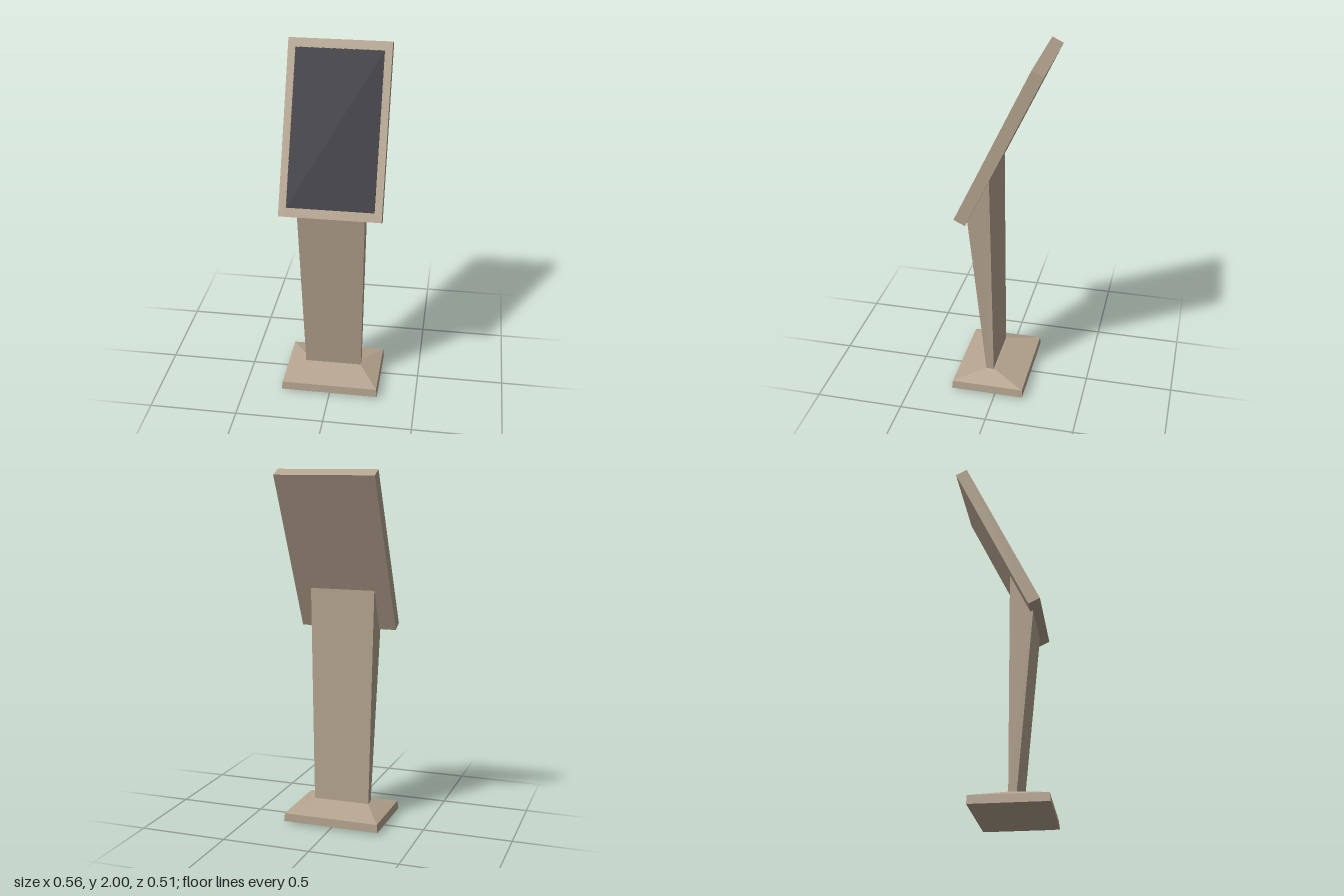
import * as THREE from 'three';

const casing = new THREE.MeshStandardMaterial({ color: 0xb5a48f });
casing.name = 'beige casing';
const glass = new THREE.MeshStandardMaterial({ color: 0x1e1e2a });
glass.name = 'dark glass';

// One rectangular section: half width, height and depth of its front and back edges
const section = (wFront, yFront, zFront, wBack, yBack, zBack) => [
  [-wFront, yFront, zFront], [wFront, yFront, zFront],
  [wBack, yBack, zBack], [-wBack, yBack, zBack],
];

// Closed, sharp-edged loft through four-cornered sections, bottom to top
function loft(rings) {
  const pos = [];
  const quad = (a, b, c, d) => [a, b, c, a, c, d].forEach((p) => pos.push(...p));
  for (let i = 0; i < rings.length - 1; i++) {
    for (let j = 0; j < 4; j++) {
      const k = (j + 1) % 4;
      quad(rings[i][j], rings[i][k], rings[i + 1][k], rings[i + 1][j]);
    }
  }
  const [first, last] = [rings[0], rings[rings.length - 1]];
  quad(first[3], first[2], first[1], first[0]);
  quad(...last);
  const geo = new THREE.BufferGeometry();
  geo.setAttribute('position', new THREE.Float32BufferAttribute(pos, 3));
  geo.computeVertexNormals();
  return geo;
}

function addMesh(parent, name, geometry, material, z = 0) {
  const mesh = new THREE.Mesh(geometry, material);
  mesh.name = name;
  mesh.position.z = z;
  parent.add(mesh);
  return mesh;
}

const rectangle = (Type, w, h) => new Type([
  new THREE.Vector2(-w / 2, -h / 2), new THREE.Vector2(w / 2, -h / 2),
  new THREE.Vector2(w / 2, h / 2), new THREE.Vector2(-w / 2, h / 2),
]);

export function createModel() {
  const model = new THREE.Group();
  model.name = 'kiosk';

  // Foot plate: shallow underside, upright rim, slopes rising to the stem
  addMesh(model, 'base', loft([
    section(0.235, 0, 0.21, 0.235, 0, -0.12),
    section(0.28, 0.013, 0.255, 0.28, 0.013, -0.165),
    section(0.275, 0.06, 0.25, 0.275, 0.06, -0.163),
    section(0.165, 0.102, 0.08, 0.165, 0.102, 0.022),
  ]), casing);

  // Stem widens upwards and is cut to the slope of the panel
  addMesh(model, 'stem', loft([
    section(0.164, 0.09, 0.073, 0.164, 0.09, 0.03),
    section(0.185, 1.118, 0.172, 0.187, 1.34, 0.044),
  ]), casing);

  // Tilted display; local z = 0 is the front of the bezel
  const width = 0.56, height = 0.959, depth = 0.07, recess = 0.006;
  const display = new THREE.Group();
  display.name = 'display';
  display.position.set(0, 1.5675, 0.0115);
  display.rotation.x = -0.4455;
  model.add(display);

  const slab = depth - recess;
  addMesh(display, 'displayHousing', new THREE.BoxGeometry(width, height, slab), casing, -recess - slab / 2);

  const frame = rectangle(THREE.Shape, width, height);
  frame.holes.push(rectangle(THREE.Path, 0.48, 0.862));
  addMesh(display, 'bezel', new THREE.ExtrudeGeometry(frame, { depth: recess, bevelEnabled: false }), casing, -recess);

  addMesh(display, 'screen', new THREE.BoxGeometry(0.478, 0.86, 0.004), glass, -recess + 0.002);

  return model;
}
